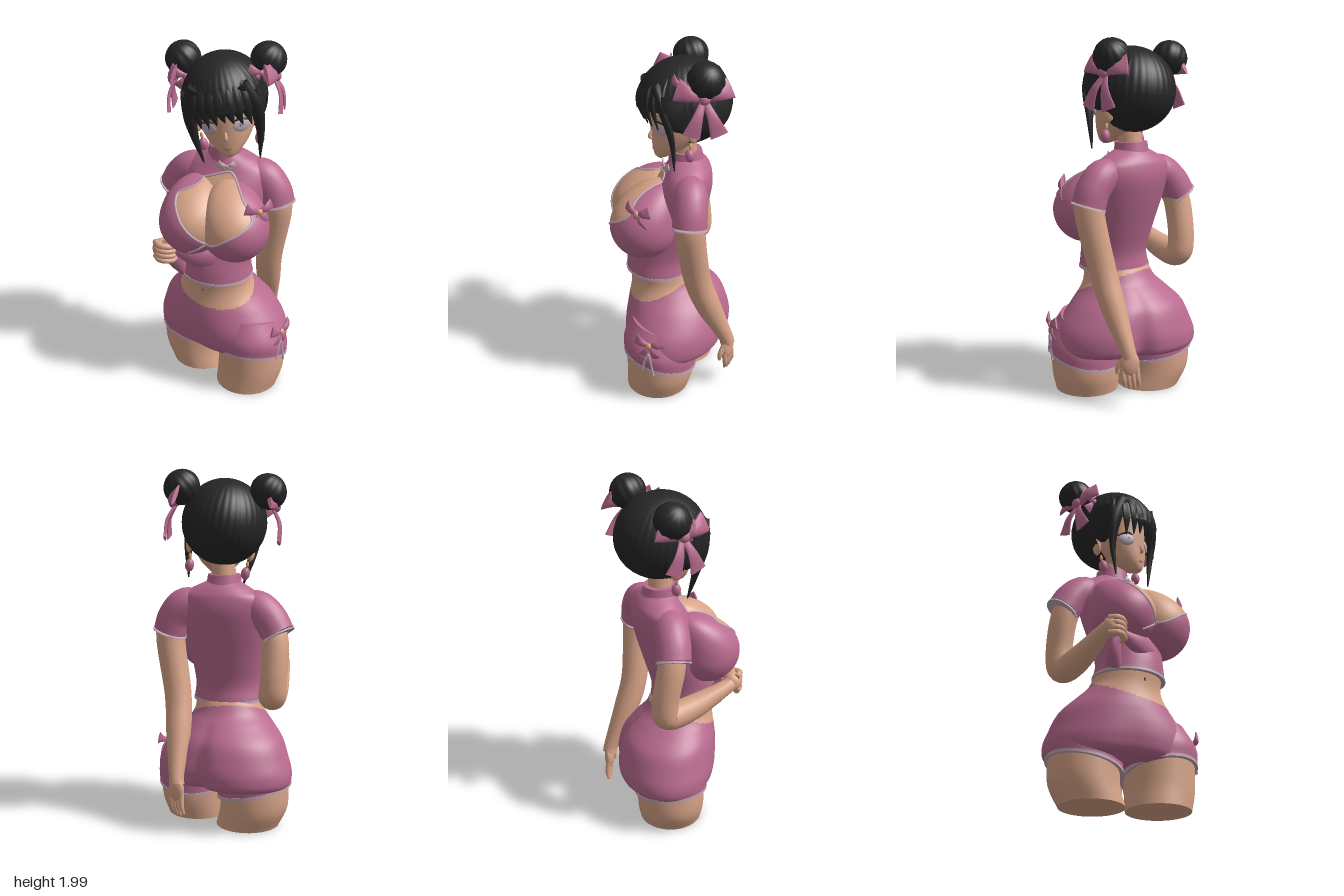
import * as THREE from 'three';

const V = (p) => new THREE.Vector3(...p);
const mat = (name, color, side = THREE.FrontSide) => {
  const m = new THREE.MeshStandardMaterial({ color, side });
  m.name = name;
  return m;
};

export function createModel() {
  const model = new THREE.Group();
  model.name = 'figure';
  const skin = mat('skin', 0xd8a488), pink = mat('pink cloth', 0xb96b8f), hair = mat('black hair', 0x262626, THREE.DoubleSide);
  const trim = mat('pale trim', 0xc2a9b6), gold = mat('gold bead', 0xd9a273), eyeMat = mat('eye', 0xbcaab8);
  const iris = mat('iris', 0x7d6a7c), lip = mat('lip', 0x8f5648);

  const add = (parent, name, geo, m) => {
    const mesh = new THREE.Mesh(geo, m);
    mesh.name = name;
    parent.add(mesh);
    return mesh;
  };
  const ball = (parent, name, m, pos, scale, rotY = 0) => {
    const b = add(parent, name, new THREE.SphereGeometry(1, 18, 12), m);
    b.position.set(...pos);
    b.scale.set(...scale);
    b.rotation.y = rotY;
  };

  // Smooth skin over elliptical rings along a path; with yaw the rings stay level, or slope by tilt
  function tube(parent, name, m, path, radii, { yaw, ref = [0, 0, 1], seg = 20, steps = 16, shape, tilt = [0, 0] } = {}) {
    const curve = new THREE.CatmullRomCurve3(path.map(V), false, 'catmullrom', 0.5);
    const rad = new THREE.CatmullRomCurve3(radii.map((r) => (Array.isArray(r) ? V([...r, 0]) : V([r, r, 0]))), false, 'catmullrom', 0.5);
    const pos = [], idx = [];
    for (let i = 0; i <= steps; i++) {
      const t = i / steps, c = curve.getPoint(t), r = rad.getPoint(t), dir = curve.getTangent(t);
      const s = yaw === undefined ? V(ref).cross(dir).normalize() : V([Math.cos(yaw), 0, -Math.sin(yaw)]);
      const u = yaw === undefined ? s.clone().cross(dir) : V([Math.sin(yaw), 0, Math.cos(yaw)]);
      for (let j = 0; j < seg; j++) {
        const a = (j / seg) * Math.PI * 2, k = shape ? shape(a, t) : 1;
        const p = c.clone().addScaledVector(s, Math.cos(a) * r.x * k).addScaledVector(u, Math.sin(a) * r.y * k);
        pos.push(p.x, p.y + tilt[0] * (p.x - c.x) + tilt[1] * (p.z - c.z), p.z);
      }
    }
    for (let i = 0; i < steps; i++) for (let j = 0; j < seg; j++) {
      const a = i * seg + j, b = i * seg + (j + 1) % seg;
      idx.push(a, a + seg, b, b, a + seg, b + seg);
    }
    // end caps on duplicated rings
    for (const end of [0, 1]) {
      const from = end * steps * seg, base = pos.length / 3, c = curve.getPoint(end);
      for (let j = 0; j < seg * 3; j++) pos.push(pos[from * 3 + j]);
      pos.push(c.x, c.y, c.z);
      for (let j = 0; j < seg; j++) {
        const n = base + (j + 1) % seg;
        idx.push(base + seg, end ? n : base + j, end ? base + j : n);
      }
    }
    const g = new THREE.BufferGeometry();
    g.setAttribute('position', new THREE.Float32BufferAttribute(pos, 3));
    g.setIndex(idx);
    g.computeVertexNormals();
    return add(parent, name, g, m);
  }

  // Give the triangles that pass a test a second material
  function paint(mesh, second, test) {
    const g = mesh.geometry, p = g.attributes.position, src = g.index.array, out = [[], []];
    for (let i = 0; i < src.length; i += 3) {
      const t = [src[i], src[i + 1], src[i + 2]];
      const mid = (f) => (f(t[0]) + f(t[1]) + f(t[2])) / 3;
      out[test(mid((k) => p.getX(k)), mid((k) => p.getY(k)), mid((k) => p.getZ(k))) ? 1 : 0].push(...t);
    }
    g.setIndex([...out[0], ...out[1]]);
    g.addGroup(0, out[0].length, 0);
    g.addGroup(out[0].length, out[1].length, 1);
    mesh.material = [mesh.material, second];
  }

  // Ribbon bow with two loops and two tails
  function bow(name, pos, rotY, size, tail, knot, cloth = pink, lean = 0) {
    const g = new THREE.Group();
    g.name = name;
    for (const s of [-1, 1]) {
      tube(g, 'bowLoop', cloth, [[0, 0, 0], [s * 0.04, 0.014, 0.012], [s * 0.08, 0.03, 0]], [[0.01, 0.008], [0.022, 0.013], [0.034, 0.006]], { seg: 12, steps: 8 });
      tube(g, 'bowTail', cloth, [[0, 0, 0], [s * 0.022, -tail / 2, 0.012], [s * 0.042, -tail, 0]], [[0.008, 0.005], [0.016, 0.005], [0.028, 0.004]], { seg: 10, steps: 8 });
    }
    ball(g, 'bowKnot', knot, [0, 0, 0.012], [0.018, 0.018, 0.014]);
    g.position.set(...pos);
    g.rotation.set(lean, rotY, 0, 'YXZ');
    g.scale.setScalar(size);
    model.add(g);
  }

  // Thighs, short legs and their sloping hems
  for (const [x0, z0, x1, z1, n, tilt] of [[0.13, 0.16, 0.155, 0.156, 'left', [-0.1, 0.24]], [-0.1, -0.12, -0.13, -0.152, 'right', [-0.17, -0.08]]]) {
    const level = { yaw: 0, seg: 40 };
    tube(model, n + 'Thigh', skin, [[x0, 0, z0], [x1, 0.12, z1], [x1, 0.3, z1]], [0.178, 0.191, 0.194], level);
    tube(model, n + 'ShortLeg', pink, [[x1, 0.215, z1], [x1, 0.3, z1], [x1 * 0.9, 0.42, z1 * 0.85]], [0.208, 0.206, 0.17], { ...level, tilt });
    tube(model, n + 'ShortHem', trim, [[x1, 0.205, z1], [x1, 0.221, z1]], [0.21, 0.21], { ...level, steps: 2, tilt });
  }
  // Side slit edging
  tube(model, 'slitEdge', trim, [[0.276, 0.23, 0.328], [0.302, 0.34, 0.302], [0.325, 0.2, 0.28]], [0.007, 0.007, 0.007], { ref: [1, 0, 1], seg: 8 });

  // Shorts, creased at the back, cut low in front so the belly shows above the waistline
  const shorts = tube(model, 'shorts', pink,
    [[0.015, 0.225, -0.01], [0.015, 0.255, -0.03], [0.015, 0.32, -0.03], [0.013, 0.4, -0.025], [-0.005, 0.5, -0.025], [-0.02, 0.58, 0], [-0.027, 0.64, 0.03], [-0.03, 0.71, 0.055]],
    [[0.35, 0.18], [0.4, 0.268], [0.41, 0.29], [0.385, 0.287], [0.325, 0.265], [0.25, 0.225], [0.204, 0.195], [0.187, 0.18]],
    { yaw: -0.785, seg: 96, steps: 64, shape: (a, t) => 1
      - 0.17 * Math.exp(-(((a - 4.71) / 0.14) ** 2)) * Math.max(0, 1 - t * 1.15)
      + 0.035 * Math.exp(-(((Math.abs(a - 4.71) - 0.6) / 0.35) ** 2)) * Math.max(0, 1 - t * 1.6)
      - 0.1 * Math.exp(-(((a - 1.57) / 0.3) ** 2)) * Math.max(0, 1 - t * 1.8) });
  paint(shorts, skin, (x, y, z) => y > 0.64 - 0.4 * z + 0.1 * x);

  // Midriff, navel, neck
  tube(model, 'midriff', skin, [[-0.028, 0.64, 0.045], [-0.03, 0.72, 0.06], [-0.03, 0.82, 0.06]],
    [[0.19, 0.178], [0.182, 0.17], [0.17, 0.15]], { yaw: -0.6, seg: 48 });
  ball(model, 'navel', lip, [-0.13, 0.655, 0.206], [0.005, 0.012, 0.006], -0.5);
  tube(model, 'neck', skin, [[0.025, 1.34, -0.07], [0.03, 1.56, -0.05]], [0.068, 0.066], { yaw: 0 });

  // Cropped top
  const torso = tube(model, 'top', pink,
    [[-0.035, 0.7, 0.065], [-0.03, 0.8, 0.065], [-0.015, 0.95, 0.03], [0.01, 1.1, -0.02], [0.03, 1.22, -0.055], [0.04, 1.3, -0.075], [0.04, 1.345, -0.077], [0.03, 1.39, -0.072]],
    [[0.205, 0.188], [0.19, 0.182], [0.208, 0.187], [0.23, 0.175], [0.245, 0.16], [0.235, 0.132], [0.175, 0.11], [0.085, 0.08]],
    { yaw: -0.5, seg: 96, steps: 70 });
  tube(model, 'topHem', trim, [[-0.035, 0.696, 0.065], [-0.035, 0.71, 0.065]], [[0.208, 0.191], [0.207, 0.19]], { yaw: -0.5, seg: 48, steps: 2 });
  tube(model, 'collar', pink, [[0.028, 1.35, -0.073], [0.025, 1.425, -0.068]], [0.1, 0.09], { yaw: 0, seg: 36, steps: 4 });

  // Bust, fuller below and sloping back above
  const bust = [[0.05, 1.03, 0.2, 0.188, 'left', 0.1], [-0.178, 1.035, 0.1, 0.182, 'right', -0.2]].map(([x, y, z, r, n, lean]) => {
    const g = new THREE.SphereGeometry(1, 80, 56), p = g.attributes.position;
    for (let i = 0; i < p.count; i++) {
      const up = Math.max(0, p.getY(i));
      p.setXYZ(i, x + r * (p.getX(i) - lean * up * up), y + r * (p.getY(i) + 0.3 * up), z + r * (p.getZ(i) - 0.55 * up * up));
    }
    g.computeVertexNormals();
    return add(model, n + 'Bust', g, pink);
  });

  // Keyhole neckline, with edging laid on the surface
  const hole = new THREE.CatmullRomCurve3([[-0.24, 1.225], [-0.1, 1.265], [0.04, 1.305], [0.085, 1.22], [0.12, 1.13], [-0.02, 1.045], [-0.11, 0.98], [-0.19, 1.03], [-0.25, 1.1], [-0.272, 1.175]].map(([x, y]) => V([x, y, 0])), true, 'catmullrom', 0.4).getPoints(90);
  const inHole = (x, y, z) => {
    let inside = false;
    for (let i = 0; i < hole.length - 1; i++) {
      const a = hole[i], b = hole[i + 1];
      if ((a.y > y) !== (b.y > y) && x < a.x + ((y - a.y) / (b.y - a.y)) * (b.x - a.x)) inside = !inside;
    }
    return inside && z > 0.02;
  };
  const body = [torso, ...bust];
  model.updateMatrixWorld(true);
  const ray = new THREE.Raycaster();
  const edging = (name, points) => {
    const path = points.map((p) => {
      ray.set(V([p.x, p.y, 1]), V([0, 0, -1]));
      return ray.intersectObjects(body)[0].point;
    });
    add(model, name, new THREE.TubeGeometry(new THREE.CatmullRomCurve3(path), path.length * 2, 0.007, 6), trim);
  };
  edging('necklineTrim', hole);
  edging('wrapTrim', new THREE.LineCurve3(V([-0.1, 0.985, 0]), V([-0.21, 0.91, 0])).getPoints(12));
  body.forEach((m) => paint(m, skin, inHole));

  // Sleeves, arms and hands
  const sleeve = (n, pts) => {
    tube(model, n + 'Sleeve', pink, pts, [0.07, 0.092, 0.095, 0.095]);
    const e = pts[3], d = V(e).sub(V(pts[2])).normalize().multiplyScalar(0.014);
    tube(model, n + 'Cuff', trim, [e, V(e).add(d).toArray()], [0.097, 0.098], { steps: 2 });
  };
  sleeve('left', [[0.14, 1.265, -0.03], [0.23, 1.255, 0.005], [0.288, 1.18, 0.035], [0.31, 1.1, 0.05]]);
  sleeve('right', [[-0.05, 1.265, -0.12], [-0.14, 1.25, -0.165], [-0.2, 1.19, -0.21], [-0.235, 1.11, -0.245]]);
  tube(model, 'leftArm', skin, [[0.29, 1.18, 0.035], [0.31, 1.06, 0.045], [0.28, 0.75, -0.015], [0.29, 0.55, -0.085], [0.318, 0.34, -0.18], [0.32, 0.28, -0.2]],
    [0.08, 0.082, 0.076, 0.07, 0.044, 0.042], { ref: [1, 0, 0], steps: 40 });
  tube(model, 'rightArm', skin, [[-0.2, 1.18, -0.21], [-0.22, 1.05, -0.25], [-0.205, 0.86, -0.28], [-0.205, 0.765, -0.255], [-0.262, 0.785, -0.12], [-0.345, 0.865, 0.06], [-0.352, 0.885, 0.1]],
    [0.075, 0.076, 0.074, 0.076, 0.07, 0.043, 0.042], { ref: [1, 0, 0], steps: 50 });
  ball(model, 'leftPalm', skin, [0.322, 0.25, -0.2], [0.028, 0.075, 0.054], 0.6);
  ball(model, 'rightPalm', skin, [-0.35, 0.885, 0.115], [0.052, 0.058, 0.05]);
  for (let i = 0; i < 4; i++) {
    const k = i - 1.5, x = 0.322 + k * 0.014, z = -0.2 + k * 0.022;
    tube(model, 'leftFinger', skin, [[x, 0.23, z], [x, 0.16, z - 0.008], [x - 0.012, 0.1 + Math.abs(k) * 0.012, z - 0.01]], [0.015, 0.014, 0.008], { ref: [1, 0, 0], seg: 10, steps: 8 });
    const y = 0.925 - i * 0.029;
    tube(model, 'rightFinger', skin, [[-0.385, y, 0.11], [-0.36, y, 0.165], [-0.3, y - 0.008, 0.165], [-0.275, y - 0.01, 0.135]], [0.017, 0.019, 0.017, 0.013], { ref: [0, 1, 0], seg: 10, steps: 10 });
  }
  tube(model, 'leftThumb', skin, [[0.335, 0.28, -0.175], [0.345, 0.23, -0.14], [0.345, 0.19, -0.135]], [0.018, 0.015, 0.009], { ref: [1, 0, 0], seg: 10, steps: 8 });
  tube(model, 'rightThumb', skin, [[-0.35, 0.92, 0.12], [-0.31, 0.935, 0.15], [-0.265, 0.92, 0.155]], [0.018, 0.018, 0.011], { ref: [0, 1, 0], seg: 10, steps: 8 });
  // Cloth pulled aside by the right hand
  tube(model, 'pulledCloth', pink, [[-0.06, 0.84, 0.2], [-0.18, 0.86, 0.17], [-0.29, 0.885, 0.13]], [[0.07, 0.04], [0.06, 0.04], [0.02, 0.02]]);
  tube(model, 'pulledFold', pink, [[-0.3, 0.88, 0.11], [-0.27, 0.8, 0.09], [-0.225, 0.715, 0.06]], [[0.022, 0.02], [0.052, 0.035], [0.035, 0.05]]);

  // Head
  const head = new THREE.Group();
  head.name = 'head';
  head.position.set(0.03, 1.66, -0.06);
  head.rotation.set(0, -0.22, 0.15, 'YXZ');
  model.add(head);
  tube(head, 'face', skin,
    [[0, -0.255, 0.14], [0, -0.235, 0.125], [0, -0.18, 0.075], [0, -0.1, 0.03], [0, 0, 0.005], [0, 0.12, 0], [0, 0.22, 0]],
    [[0.012, 0.012], [0.046, 0.048], [0.105, 0.108], [0.148, 0.158], [0.165, 0.188], [0.16, 0.19], [0.08, 0.1]], { yaw: 0, seg: 40, steps: 30 });
  tube(head, 'nose', skin, [[0, -0.148, 0.17], [0, -0.132, 0.198], [0, -0.09, 0.178]], [0.006, 0.011, 0.006], { ref: [1, 0, 0], seg: 10, steps: 8 });
  tube(head, 'mouth', lip, [[-0.04, -0.188, 0.167], [0, -0.199, 0.181], [0.04, -0.188, 0.167]], [0.002, 0.004, 0.002], { seg: 8, steps: 8 });
  for (const s of [-1, 1]) {
    ball(head, 'eye', eyeMat, [s * 0.088, -0.072, 0.156], [0.052, 0.037, 0.015], s * 0.5);
    ball(head, 'iris', iris, [s * 0.085, -0.07, 0.169], [0.014, 0.016, 0.005], s * 0.5);
    tube(head, 'lashes', hair, [[s * 0.035, -0.05, 0.178], [s * 0.088, -0.034, 0.17], [s * 0.138, -0.055, 0.13]], [0.003, 0.006, 0.003], { seg: 8, steps: 10 });
    ball(head, 'ear', skin, [s * 0.172, -0.095, 0.0], [0.018, 0.05, 0.034], s * 0.3);
    ball(head, 'earring', pink, [s * 0.156, -0.215, 0.02], [0.025, 0.036, 0.025]);
    ball(head, 'earringBead', gold, [s * 0.16, -0.165, 0.015], [0.009, 0.02, 0.009]);
    tube(head, 'sideLock', hair, [[s * 0.12, 0.16, 0.18], [s * 0.175, 0.03, 0.155], [s * 0.18, -0.12, 0.12], [s * 0.155, -0.29, 0.105]], [[0.04, 0.03], [0.04, 0.025], [0.024, 0.016], [0.004, 0.004]], { seg: 12 });
    // hair swept over the temple
    tube(head, 'templeHair', hair, [[s * 0.19, 0.12, 0.07], [s * 0.2, 0.03, 0.07], [s * 0.188, -0.04, 0.06], [s * 0.18, -0.08, 0.05]], [[0.03, 0.1], [0.026, 0.1], [0.02, 0.07], [0.01, 0.015]], { seg: 16 });
  }

  // Hair mass: full crown and a back shell, both finely ridged
  const shell = (parent, name, args, pos, scale, ridges, depth) => {
    const g = new THREE.SphereGeometry(1, ...args), p = g.attributes.position;
    for (let i = 0; i < p.count; i++) {
      const a = Math.atan2(p.getZ(i), p.getX(i)), k = 1 + depth * Math.sin(a * ridges) * Math.hypot(p.getX(i), p.getZ(i));
      p.setXYZ(i, p.getX(i) * k, p.getY(i), p.getZ(i) * k);
    }
    g.computeVertexNormals();
    const m = add(parent, name, g, hair);
    m.position.set(...pos);
    m.scale.set(...scale);
    return m;
  };
  shell(head, 'hairCrown', [144, 18, 0, Math.PI * 2, 0, 1.62], [0, 0.045, 0], [0.232, 0.242, 0.258], 36, 0.008);
  shell(head, 'hairBack', [84, 26, Math.PI - 0.1, Math.PI + 0.2, 0, Math.PI], [0, 0.045, 0], [0.232, 0.23, 0.258], 36, 0.008);
  for (let i = -4; i <= 4; i++) {
    const x = i * 0.041, z = 0.245 * Math.sqrt(1 - (x / 0.22) ** 2);
    tube(head, 'bangLock', hair, [[x * 0.75, 0.2, z * 0.7], [x * 0.95, 0.13, z * 0.93], [x * 1.05, 0.05, z], [x * 1.1 + 0.012, -0.03 - Math.abs(i) * 0.011, z * 0.9]],
      [[0.015, 0.008], [0.03, 0.014], [0.032, 0.014], [0.003, 0.003]], { seg: 10, steps: 14 });
  }

  // Buns with their ribbons
  for (const [n, x, y, z, slant] of [['left', 0.258, 1.898, -0.063, -0.6], ['right', -0.188, 1.875, -0.205, 0.6]]) {
    shell(model, n + 'Bun', [60, 20], [x, y, z], [0.098, 0.096, 0.098], 12, 0.025).rotation.z = slant;
  }
  bow('leftHairRibbon', [0.28, 1.81, -0.04], 1.25, 1.75, 0.11, pink, pink, -0.3);
  bow('rightHairRibbon', [-0.22, 1.79, -0.165], -1.88, 1.75, 0.11, pink, pink, -0.2);
  bow('leftInnerRibbon', [0.2, 1.86, 0.04], 0.3, 0.9, 0.04, pink);
  bow('rightInnerRibbon', [-0.18, 1.81, -0.095], -0.3, 1.1, 0.06, pink);

  // Dress bows
  bow('chestBow', [0.165, 1.17, 0.285], 0.4, 1.0, 0.08, gold);
  bow('hipBow', [0.3, 0.4, 0.29], 0.785, 1.0, 0.08, gold);
  bow('collarClasp', [0.02, 1.335, 0.05], -0.1, 0.6, 0.03, gold, trim);
  return model;
}
